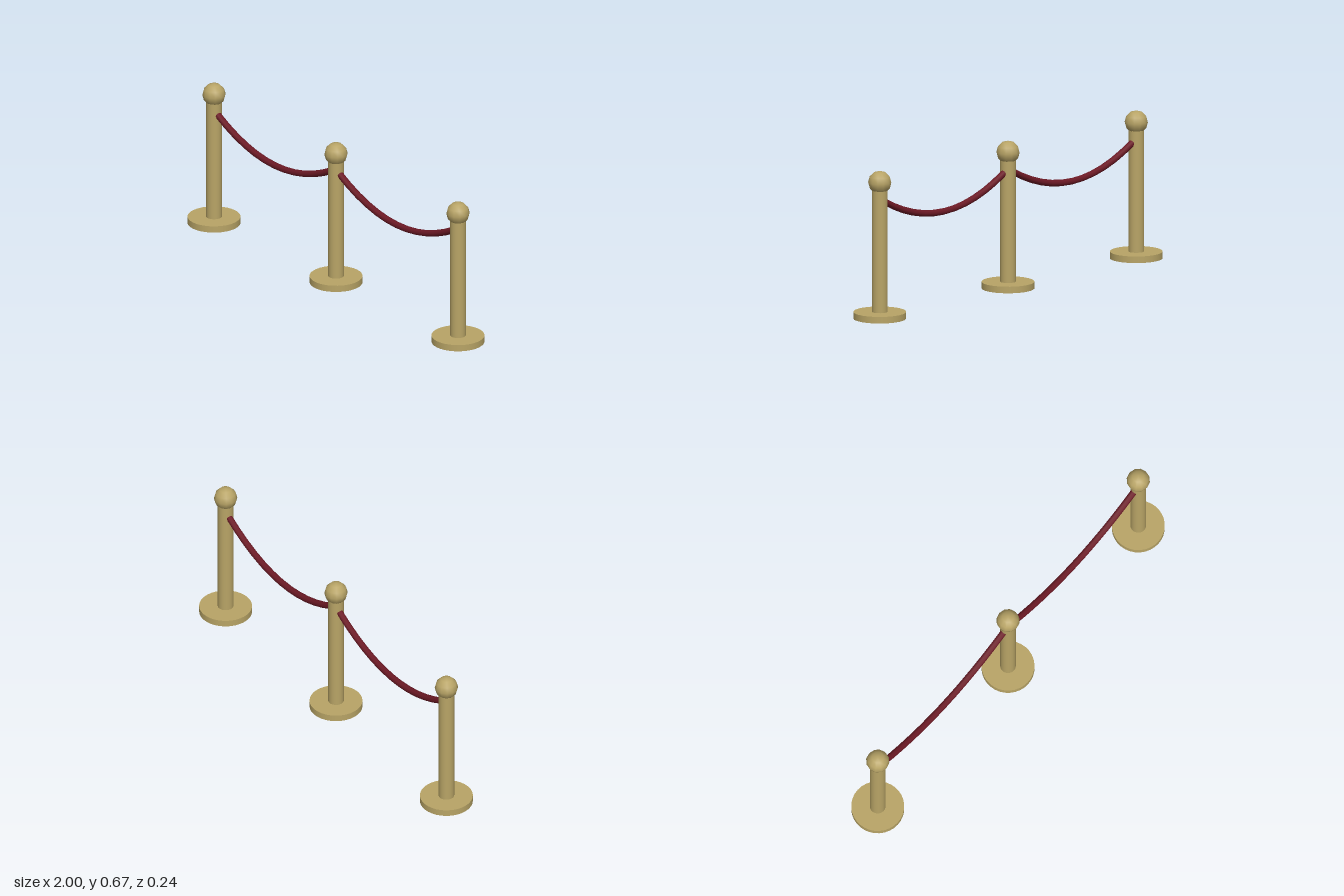
import * as THREE from 'three';

const POST_SPACING = 0.882;
const POLE_RADIUS = 0.035;

export function createModel() {
  const model = new THREE.Group();
  model.name = 'ropeBarrier';
  const brass = new THREE.MeshStandardMaterial({ color: 0xb8a466 });
  const velvet = new THREE.MeshStandardMaterial({ color: 0x6e1a26 });

  const add = (parent, name, geometry, material, y = 0) => {
    const mesh = new THREE.Mesh(geometry, material);
    mesh.name = name;
    mesh.position.y = y;
    parent.add(mesh);
  };

  // Three posts: disc base, pole and ball finial
  const baseGeometry = new THREE.CylinderGeometry(0.118, 0.118, 0.03, 32);
  const poleGeometry = new THREE.CylinderGeometry(POLE_RADIUS, POLE_RADIUS, 0.56, 24);
  const ballGeometry = new THREE.SphereGeometry(0.0525, 12, 6);
  ['rightPost', 'middlePost', 'leftPost'].forEach((name, i) => {
    const post = new THREE.Group();
    post.name = name;
    post.position.x = (i - 1) * POST_SPACING;
    add(post, 'base', baseGeometry, brass, 0.015);
    add(post, 'pole', poleGeometry, brass, 0.308);
    add(post, 'ballFinial', ballGeometry, brass, 0.617);
    model.add(post);
  });

  // Two sagging ropes, their ends tucked into the poles
  for (const side of [-1, 1]) {
    const near = side * 0.03;
    const far = side * (POST_SPACING - 0.03);
    const curve = new THREE.QuadraticBezierCurve3(
      new THREE.Vector3(near, 0.526, 0),
      new THREE.Vector3((near + far) / 2, 0.308, 0),
      new THREE.Vector3(far, 0.526, 0),
    );
    add(model, side < 0 ? 'rightRope' : 'leftRope',
      new THREE.TubeGeometry(curve, 12, 0.015, 8), velvet);
  }
  return model;
}
